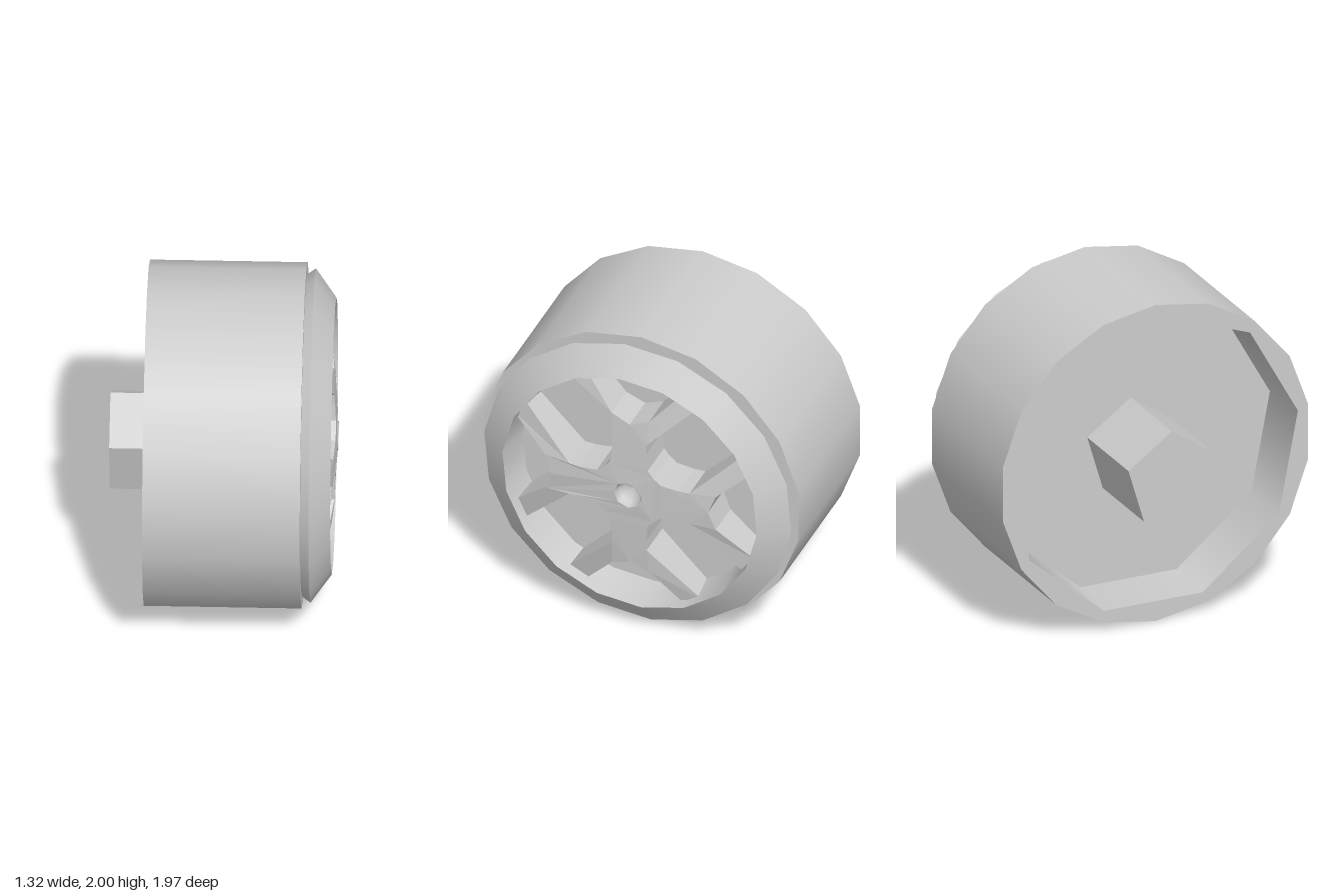
import * as THREE from 'three';

const metal = new THREE.MeshStandardMaterial({ color: 0xcccccc, side: THREE.DoubleSide });
metal.name = 'grey metal';

const rad = THREE.MathUtils.degToRad;

export function createModel() {
  const model = new THREE.Group();
  model.name = 'wheel';
  const wheel = new THREE.Group();
  wheel.name = 'wheelBody';
  wheel.position.y = 1; // axle runs along x at this height
  model.add(wheel);

  const add = (name, geometry) => {
    const mesh = new THREE.Mesh(geometry, metal);
    mesh.name = name;
    wheel.add(mesh);
  };

  // Turned surface around the axle; every profile step [radius, x] keeps a sharp edge
  const turn = (name, profile, sides, startDeg) => {
    for (let i = 0; i + 1 < profile.length; i++) {
      const points = [profile[i], profile[i + 1]].map(([r, x]) => new THREE.Vector2(r, x));
      add(name, new THREE.LatheGeometry(points, sides, -rad(startDeg)).rotateZ(-Math.PI / 2));
    }
  };

  // Flat outline across the axle, mirrored so that it lands on +z after turning
  const ngon = (r, sides, startDeg) => Array.from({ length: sides }, (_, i) => {
    const a = rad(startDeg) + (i / sides) * Math.PI * 2;
    return new THREE.Vector2(-Math.cos(a) * r, Math.sin(a) * r);
  });

  // Outer drum
  turn('drum', [[1, -0.45], [1, 0.46], [0.9, 0.46]], 18, 90);

  // Back rim face and the hollow behind it
  const backFace = new THREE.Shape(ngon(1, 18, 90));
  backFace.holes.push(new THREE.Path(ngon(0.93, 9, 9)));
  add('backRim', new THREE.ShapeGeometry(backFace).rotateY(-Math.PI / 2).scale(1, 1, -1).translate(-0.45, 0, 0));
  turn('backHollow', [[0.93, -0.45], [0.91, -0.13], [0, -0.13]], 9, 9);

  // Five-sided axle stub
  const stub = [[0, 0.285], [-0.28, 0.09], [-0.18, -0.25], [0.19, -0.265], [0.275, 0.09]];
  const stubShape = new THREE.Shape(stub.map(([z, y]) => new THREE.Vector2(-z, y)));
  add('axleStub', new THREE.ExtrudeGeometry(stubShape, { depth: 0.54, bevelEnabled: false })
    .rotateY(Math.PI / 2).translate(-0.66, 0, 0));

  // Bevelled front ring, its inner wall and the plate behind the spokes
  turn('frontRing', [[0.93, 0.46], [0.965, 0.51], [0.8, 0.63], [0.77, 0.4], [0, 0.4]], 18, 85);

  // Spoke cluster: an eighth of the outline, mirrored and repeated
  const eighth = [[0.49, 0], [0.535, 0.117], [0.695, 0.26], [0.76, 0.315], [0.69, 0.42],
    [0.377, 0.108], [0.31, 0.106], [0.2, 0.118], [0.155, 0.155]];
  const mirrored = eighth.slice(1, -1).reverse().map(([u, v]) => [v, u]);
  const quarter = [...eighth, ...mirrored];
  const outline = [];
  for (let k = 0; k < 4; k++) {
    for (const [u, v] of quarter) {
      outline.push(new THREE.Vector2(u, v).rotateAround(new THREE.Vector2(), k * Math.PI / 2));
    }
  }
  const spokeShape = new THREE.Shape(outline);
  spokeShape.holes.push(new THREE.Path(ngon(0.088, 8, 0)));
  const spokes = new THREE.ExtrudeGeometry(spokeShape, { depth: 1, bevelEnabled: false });

  // Dish the front: nearly flat in the middle, falling away at the spoke ends
  const p = spokes.attributes.position;
  for (let i = 0; i < p.count; i++) {
    const r = Math.hypot(p.getX(i), p.getY(i));
    const front = 0.657 - 0.025 * Math.min(r / 0.45, 1) - 0.25 * Math.max(r - 0.5, 0);
    p.setZ(i, p.getZ(i) > 0.5 ? front : 0.39);
  }
  spokes.computeVertexNormals();
  add('spokes', spokes.rotateY(Math.PI / 2));

  // Small cup in the centre
  const cup = [[0.088, 0.655], [0.075, 0.61], [0.045, 0.58], [0, 0.57]];
  add('centreCup', new THREE.LatheGeometry(cup.map(([r, x]) => new THREE.Vector2(r, x)), 8)
    .rotateZ(-Math.PI / 2));

  return model;
}
